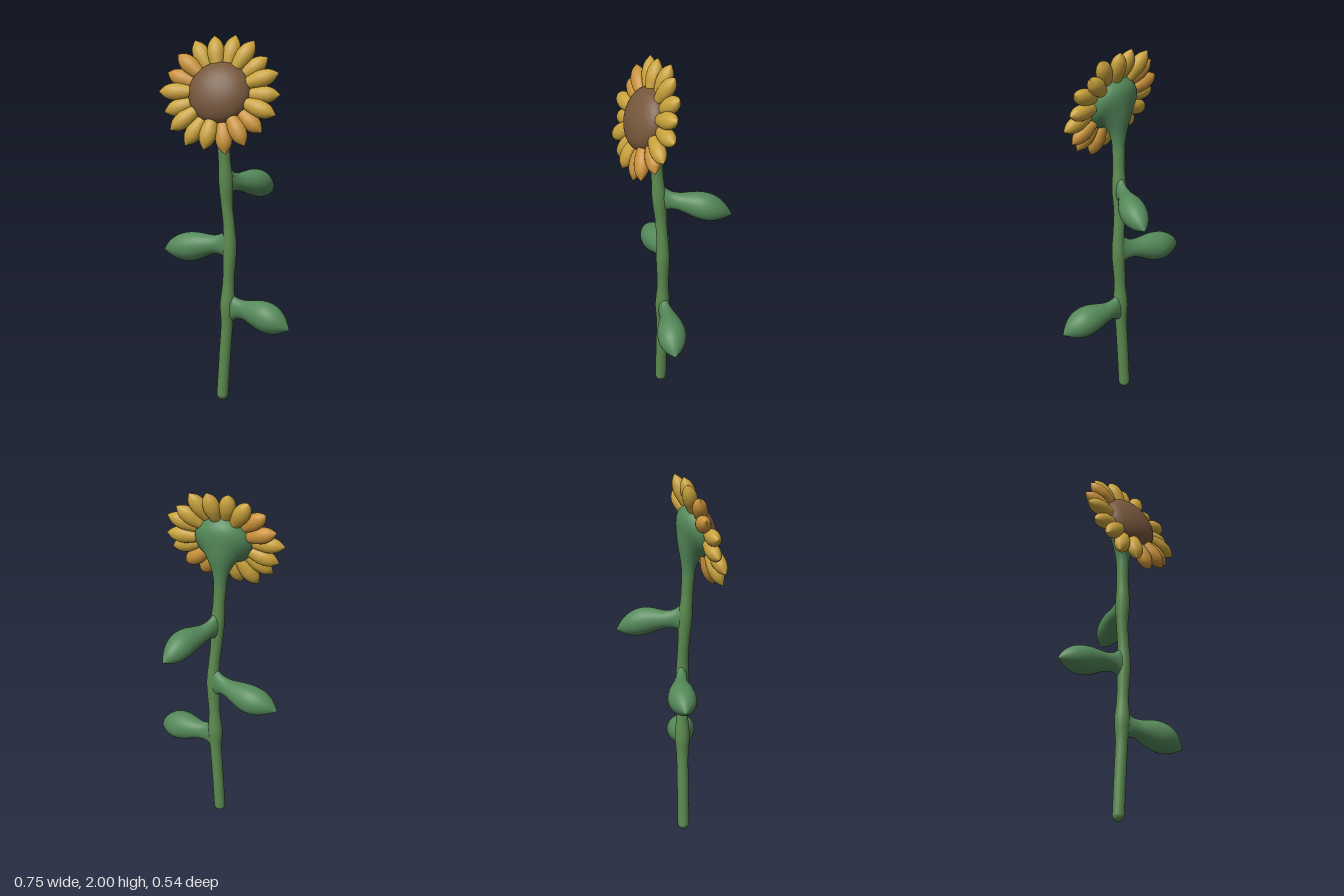
import * as THREE from 'three';

const mat = (color) => new THREE.MeshStandardMaterial({ color, roughness: 0.8, side: THREE.DoubleSide });
const stemGreen = mat(0x5c8a4f), leafGreen = mat(0x55895a), brown = mat(0x76573c);
const gold = mat(0xc9a23c), amber = mat(0xc9923a);

function mesh(name, geometry, material) {
  const m = new THREE.Mesh(geometry, material);
  m.name = name;
  return m;
}

// Smooth skin through oval rings; each key is [x, y, z, halfWidth, halfHeight, pitch in degrees].
function loft(keys, yaw, steps, sides = 28) {
  const centre = new THREE.CatmullRomCurve3(keys.map((k) => new THREE.Vector3(k[0], k[1], k[2])), false, 'catmullrom');
  const size = new THREE.CatmullRomCurve3(keys.map((k) => new THREE.Vector3(k[3], k[4], k[5])), false, 'catmullrom');
  const u = new THREE.Vector3(Math.cos(yaw), 0, -Math.sin(yaw));
  const pos = [], idx = [];
  for (let i = 0; i <= steps; i++) {
    const c = centre.getPoint(i / steps), s = size.getPoint(i / steps);
    const b = THREE.MathUtils.degToRad(s.z);
    const v = new THREE.Vector3(-Math.sin(yaw) * Math.sin(b), Math.cos(b), -Math.cos(yaw) * Math.sin(b));
    for (let j = 0; j < sides; j++) {
      const a = (j / sides) * Math.PI * 2;
      const p = c.clone().addScaledVector(u, Math.cos(a) * Math.max(0, s.x))
        .addScaledVector(v, Math.sin(a) * Math.max(0, s.y));
      pos.push(p.x, p.y, p.z);
      if (i < steps) {
        const n = (j + 1) % sides, r = i * sides, q = r + sides;
        idx.push(r + j, r + n, q + n, r + j, q + n, q + j);
      }
    }
  }
  const g = new THREE.BufferGeometry();
  g.setAttribute('position', new THREE.Float32BufferAttribute(pos, 3));
  g.setIndex(idx);
  g.computeVertexNormals();
  return g;
}

// Plump leaf: flared at the stem, a narrow neck, a full body and a pointed tip.
const LEAF_WIDTH = [0.03, 0.034, 0.045, 0.06, 0.072, 0.077, 0.069, 0.044, 0];
const LEAF_HEIGHT = [0.1, 0.06, 0.052, 0.063, 0.076, 0.08, 0.071, 0.045, 0];
function leaf(name, points, scale) {
  const path = new THREE.CatmullRomCurve3(points.map((p) => new THREE.Vector3(...p)));
  const first = path.getPoint(0), d = path.getPoint(1).sub(first);
  const keys = LEAF_WIDTH.map((w, i) => {
    const t = i / (LEAF_WIDTH.length - 1), p = path.getPointAt(t);
    return [p.x, p.y, p.z, w * scale, LEAF_HEIGHT[i] * scale, -22 * t];
  });
  return mesh(name, loft(keys, Math.atan2(d.x, d.z), 40), leafGreen);
}

export function createModel() {
  const model = new THREE.Group();
  model.name = 'sunflower';

  // Stem, thicker at the leaf joints
  const stemKeys = [
    [-0.02, 0.03, 0.06, 0.032], [-0.007, 0.25, 0.06, 0.032], [0.005, 0.43, 0.06, 0.033],
    [0.009, 0.55, 0.06, 0.041], [0.014, 0.68, 0.06, 0.032], [0.022, 0.86, 0.062, 0.037],
    [0.018, 0.98, 0.063, 0.032], [0.007, 1.1, 0.066, 0.032], [0.003, 1.23, 0.073, 0.039],
    [-0.003, 1.35, 0.08, 0.033], [-0.008, 1.46, 0.085, 0.035],
  ].map(([x, y, z, r]) => [x, y, z, r, r, 90]);
  model.add(mesh('stem', loft(stemKeys, 0, 80), stemGreen));
  const end = mesh('stemEnd', new THREE.SphereGeometry(0.032, 28, 16), stemGreen);
  end.position.set(-0.02, 0.032, 0.06);
  model.add(end);

  // Calyx: the stem opens into a cup that turns to face forward
  const cupKeys = [
    [-0.007, 1.44, 0.085, 0.034, 90], [-0.009, 1.5, 0.086, 0.038, 84], [-0.01, 1.56, 0.088, 0.054, 69],
    [-0.011, 1.625, 0.09, 0.089, 48], [-0.012, 1.68, 0.1, 0.14, 30], [-0.012, 1.705, 0.14, 0.166, 20],
  ].map(([x, y, z, r, b]) => [x, y, z, r, r, b]);
  model.add(mesh('calyx', loft(cupKeys, 0, 40, 40), leafGreen));

  // Three leaves at different heights and headings
  model.add(leaf('leftLeaf', [[0.008, 0.53, 0.06], [0.1, 0.527, 0.072], [0.22, 0.51, 0.107], [0.375, 0.455, 0.155]], 1.03));
  model.add(leaf('rightLeaf', [[0.02, 0.882, 0.06], [-0.07, 0.873, 0.03], [-0.2, 0.85, 0], [-0.38, 0.815, -0.025]], 1));
  model.add(leaf('backLeaf', [[0.002, 1.23, 0.07], [0.045, 1.217, -0.01], [0.115, 1.2, -0.12], [0.183, 1.14, -0.272]], 0.93));

  // Flower head, tilted to look slightly upward
  const head = new THREE.Group();
  head.name = 'flowerHead';
  head.position.set(-0.012, 1.705, 0.14);
  head.rotation.x = THREE.MathUtils.degToRad(-20);
  model.add(head);

  // Domed seed disc
  const dome = new THREE.SphereGeometry(0.167, 48, 20, 0, Math.PI * 2, 0, Math.PI / 2);
  dome.rotateX(Math.PI / 2).scale(1, 1, 0.53);
  head.add(mesh('seedDisc', dome, brown));

  // Ring of plump pointed petals
  const profile = new THREE.SplineCurve([[0, 0.1], [0.026, 0.14], [0.041, 0.19], [0.046, 0.235], [0.034, 0.283], [0, 0.322]]
    .map(([x, y]) => new THREE.Vector2(x, y))).getPoints(24);
  profile.forEach((p) => { p.x = Math.max(0, p.x); });
  const petal = new THREE.LatheGeometry(profile, 20);
  petal.scale(1, 1, 0.85);
  const amberPetals = [7, 8, 14, 15, 16];
  for (let i = 0; i < 18; i++) {
    const p = mesh('petal', petal, amberPetals.includes(i) ? amber : gold);
    p.rotation.z = THREE.MathUtils.degToRad(i * 20 - 90);
    p.position.z = i % 2 ? 0.008 : -0.01;
    p.scale.y = 1 + 0.03 * Math.sin(i * 2.3);
    head.add(p);
  }
  return model;
}
